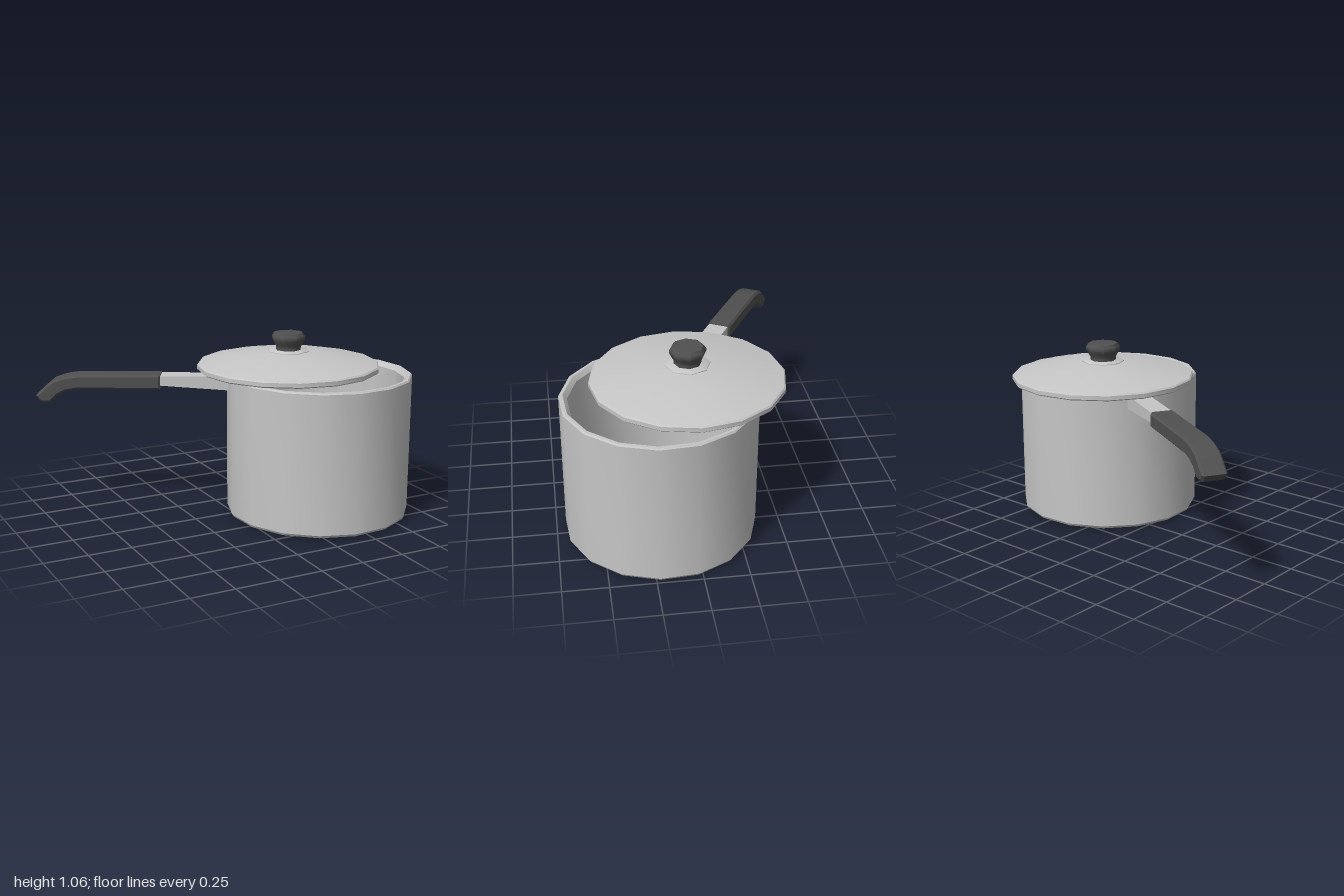
import * as THREE from 'three';
import { toCreasedNormals } from 'three/addons/utils/BufferGeometryUtils.js';

const steel = new THREE.MeshStandardMaterial({ color: 0xc6c6c6 });
steel.name = 'steel';
const darkPlastic = new THREE.MeshStandardMaterial({ color: 0x505050 });
darkPlastic.name = 'dark plastic';

function part(name, geometry, material, crease) {
  const mesh = new THREE.Mesh(toCreasedNormals(geometry, crease), material);
  mesh.name = name;
  return mesh;
}

// Round part from a [radius, height] profile, running up the outside
function turned(name, profile, sides, material, crease) {
  const points = profile.map(([r, y]) => new THREE.Vector2(r, y));
  return part(name, new THREE.LatheGeometry(points, sides), material, crease);
}

// Side profile of [x, y] points given a width across z
function slab(name, profile, width, bevel, material) {
  const shape = new THREE.Shape(profile.map(([x, y]) => new THREE.Vector2(x, y)));
  const geometry = new THREE.ExtrudeGeometry(shape, {
    depth: width - 2 * bevel, bevelEnabled: bevel > 0, bevelSegments: 1,
    bevelSize: bevel, bevelThickness: bevel, bevelOffset: -bevel,
  });
  geometry.translate(0, 0, -width / 2 + bevel);
  return part(name, geometry, material, 0.6);
}

export function createModel() {
  const model = new THREE.Group();
  model.name = 'saucepan';

  // Pan with its handle, turned so the handle points back and to the right
  const pan = new THREE.Group();
  pan.name = 'pan';
  pan.position.set(0.47, 0, 0.167);
  pan.rotation.y = THREE.MathUtils.degToRad(-29.5);
  model.add(pan);

  pan.add(turned('pot', [
    [0, 0], [0.49, 0], [0.525, 0.013], [0.535, 0.028], [0.535, 0.827],
    [0.528, 0.836], [0.512, 0.836], [0.49, 0.81], [0.49, 0.03], [0, 0.03],
  ], 16, steel, 0.5));

  // Bracket: an upside-down channel of a top plate and two tapering cheeks
  pan.add(slab('bracketTop', [[-0.51, 0.803], [-0.95, 0.803], [-0.95, 0.816], [-0.51, 0.816]], 0.116, 0, steel));
  for (const side of [-1, 1]) {
    const cheek = slab('bracketCheek', [[-0.51, 0.735], [-0.95, 0.762], [-0.95, 0.803], [-0.51, 0.803]], 0.014, 0, steel);
    cheek.position.z = side * 0.051;
    pan.add(cheek);
  }

  // Grip with a hooked end
  pan.add(slab('grip', [
    [-0.92, 0.737], [-0.92, 0.822], [-1.41, 0.818], [-1.475, 0.808], [-1.55, 0.783],
    [-1.595, 0.745], [-1.65, 0.695], [-1.62, 0.657], [-1.565, 0.655], [-1.52, 0.7],
    [-1.475, 0.722], [-1.41, 0.735],
  ], 0.137, 0.012, darkPlastic));

  // Lid, set off-centre on the pot
  const lid = new THREE.Group();
  lid.name = 'lid';
  lid.position.x = 0.357;
  model.add(lid);

  lid.add(turned('lidDome', [
    [0, 0.93], [0.29, 0.902], [0.515, 0.855], [0.515, 0.84], [0.527, 0.838],
    [0.535, 0.845], [0.535, 0.868], [0.527, 0.876], [0.42, 0.899], [0.29, 0.922], [0.14, 0.943], [0, 0.948],
  ], 16, steel, 0.5));
  lid.add(turned('knobWasher', [
    [0, 0.935], [0.124, 0.935], [0.124, 0.947], [0.115, 0.953], [0, 0.953],
  ], 8, steel, 0.85));
  lid.add(turned('knob', [
    [0, 0.95], [0.075, 0.95], [0.075, 0.972], [0.088, 0.993], [0.1, 1.017],
    [0.1, 1.033], [0.086, 1.053], [0, 1.057],
  ], 8, darkPlastic, 0.85));

  return model;
}
